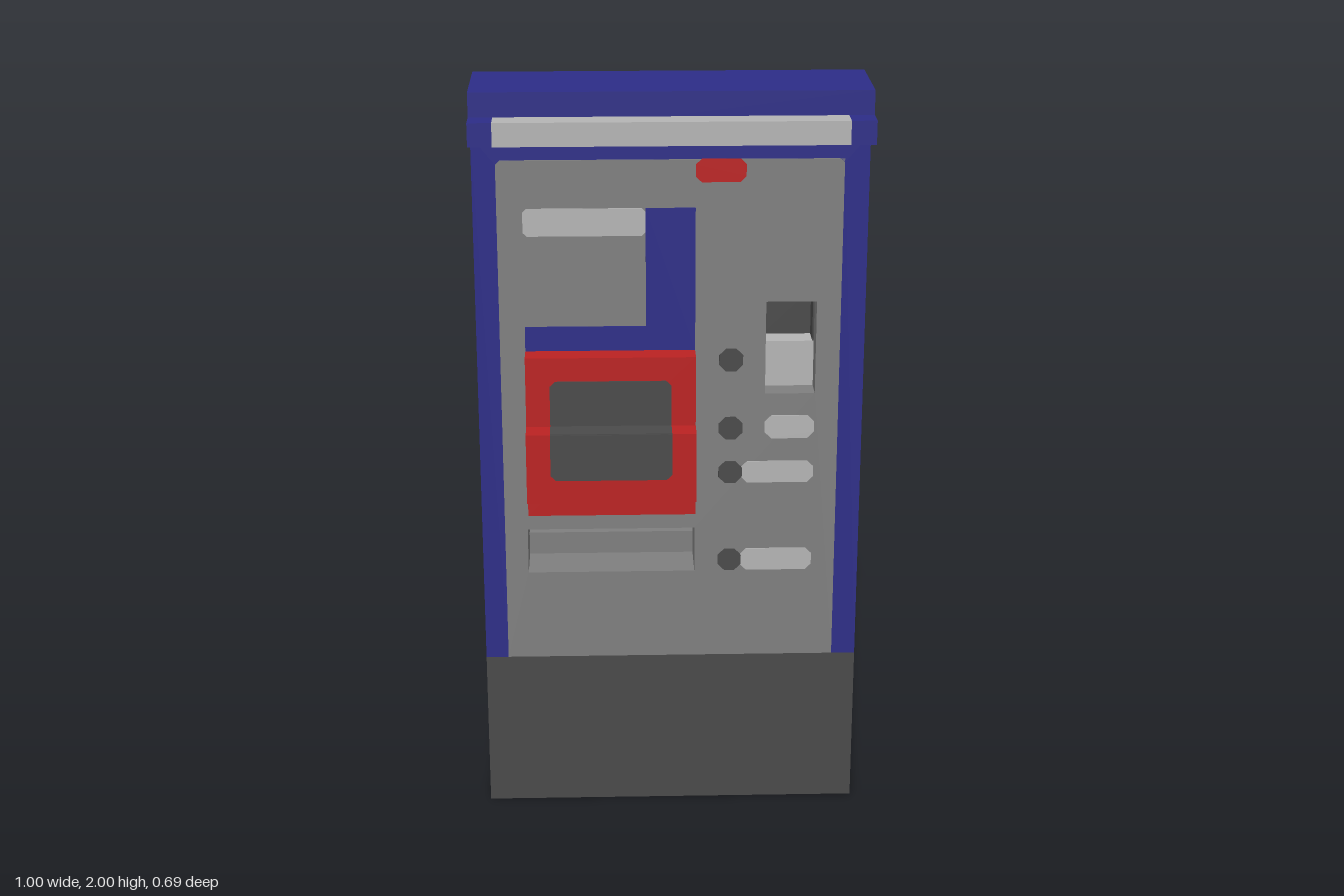
import * as THREE from 'three';

const mat = (name, color) => {
  const m = new THREE.MeshStandardMaterial({ color });
  m.name = name;
  return m;
};

export function createModel() {
  const blue = mat('blue', 0x2d2d87);
  const charcoal = mat('charcoal', 0x4a4a4a);
  const grey = mat('grey', 0x7f7f7f);
  const light = mat('lightGrey', 0xb4b4b4);
  const red = mat('red', 0xbb2222);

  const model = new THREE.Group();
  model.name = 'ticketMachine';

  const BACK = -0.344, FRONT = 0.219, PLATE = 0.003;

  const add = (name, geometry, material) => {
    const mesh = new THREE.Mesh(geometry, material);
    mesh.name = name;
    model.add(mesh);
    return mesh;
  };
  // Box given by its limits on each axis
  const box = (name, material, [x0, x1], [y0, y1], [z0, z1]) =>
    add(name, new THREE.BoxGeometry(x1 - x0, y1 - y0, z1 - z0)
      .translate((x0 + x1) / 2, (y0 + y1) / 2, (z0 + z1) / 2), material);
  // Polygon from corner pairs
  const poly = (pts, Kind = THREE.Shape) => new Kind(pts.map(p => new THREE.Vector2(...p)));
  const rect = ([x0, x1], [y0, y1], Kind) => poly([[x0, y0], [x1, y0], [x1, y1], [x0, y1]], Kind);
  const extrude = (shape, z0, z1) =>
    new THREE.ExtrudeGeometry(shape, { depth: z1 - z0, bevelEnabled: false }).translate(0, 0, z0);
  // Thin painted plate with clipped corners
  const plate = (name, material, [x0, x1], [y0, y1], c = 0.015, z = FRONT) =>
    add(name, extrude(poly([
      [x0 + c, y0], [x1 - c, y0], [x1, y0 + c], [x1, y1 - c],
      [x1 - c, y1], [x0 + c, y1], [x0, y1 - c], [x0, y0 + c],
    ]), z, z + PLATE), material);

  // Base and cabinet
  const W = [-0.5, 0.5], PX = [-0.44, 0.437], PY = [0.438, 1.815];
  const CORE = 0.03;
  box('base', charcoal, W, [0, 0.438], [BACK, FRONT]);
  box('cabinetBack', blue, W, [0.438, 1.878], [BACK, CORE]);
  const frame = poly([
    [-0.5, 0.438], [PX[0], 0.438], [PX[0], PY[1] - 0.012], [PX[0] + 0.012, PY[1]],
    [PX[1] - 0.012, PY[1]], [PX[1], PY[1] - 0.012], [PX[1], 0.438], [0.5, 0.438],
    [0.5, 1.878], [-0.5, 1.878],
  ]);
  add('cabinetFrame', extrude(frame, CORE, FRONT), blue);

  // Front panel with the two recesses cut through it
  const NX = [0.245, 0.375], NY = [1.19, 1.44], TX = [-0.38, 0.063], TY = [0.688, 0.813];
  const panel = rect(PX, [PY[0], PY[1] - 0.001]);
  panel.holes.push(rect(NX, NY, THREE.Path), rect(TX, TY, THREE.Path));
  add('frontPanel', extrude(panel, CORE, FRONT), grey);

  // Ticket tray recess with a stepped back
  box('trayBackLower', grey, TX, [TY[0], 0.75], [CORE, FRONT - 0.125]);
  box('trayBackUpper', grey, TX, [0.75, TY[1]], [CORE, CORE + 0.004]);

  // Coin niche: dark inner cavity above a light block
  box('nicheBlock', light, NX, [NY[0], 1.313], [CORE, FRONT - 0.0625]);
  box('nicheBack', charcoal, NX, [1.313, NY[1]], [CORE, FRONT - 0.125]);
  for (const x of [NX[0], NX[1] - 0.004])
    box('nicheLining', charcoal, [x, x + 0.004], [1.313, NY[1]], [CORE, FRONT - 0.0625]);
  box('nicheCeiling', charcoal, NX, [NY[1] - 0.004, NY[1]], [CORE, FRONT - 0.0625]);

  // Stepped roof; the profile is drawn in z and y, then turned to run along x
  const roof = poly([
    [-0.156, 1.878], [0.281, 1.878], [0.281, 2], [0.031, 2], [0.031, 1.938], [-0.156, 1.938],
  ]);
  add('steppedRoof', extrude(roof, -0.5, 0.5).rotateY(-Math.PI / 2).scale(1, 1, 1), blue);

  // Canopy lip with a lamp between two end blocks
  const LIP = [0.281, 0.344], LY = [1.878, 1.938];
  box('canopyEndRight', blue, [-0.5, -0.44], LY, LIP);
  box('canopyEndLeft', blue, [0.437, 0.5], LY, LIP);
  box('canopyLamp', light, [-0.44, 0.437], LY, LIP);

  // Screen housing with a protruding shelf
  const SX = [-0.375, 0.0625], GX = [-0.313, 0];
  box('screenHousing', red, SX, [0.878, 1.313], [FRONT, 0.281]);
  box('screenShelf', red, SX, [0.938, 1.127], [0.281, 0.344]);
  const glass = (name, y0, y1, top, z) => {
    const c = 0.014, a = top ? 0 : c, b = top ? c : 0;
    add(name, extrude(poly([
      [GX[0] + a, y0], [GX[1] - a, y0], [GX[1], y0 + a], [GX[1], y1 - b],
      [GX[1] - b, y1], [GX[0] + b, y1], [GX[0], y1 - b], [GX[0], y0 + a],
    ]), z, z + PLATE), charcoal);
  };
  glass('screenUpper', 1.127, 1.25, true, 0.281);
  glass('screenLower', 1.002, 1.127, false, 0.344);
  box('screenLedge', charcoal, GX, [1.127, 1.129], [0.281, 0.344]);

  // Painted signs on the panel
  add('blueSign', extrude(poly([
    [-0.375, 1.313], [0.0625, 1.313], [0.0625, 1.69], [-0.064, 1.69],
    [-0.064, 1.378], [-0.375, 1.378],
  ]), FRONT, FRONT + PLATE), blue);
  plate('lightSign', light, [-0.375, -0.064], [1.618, 1.69], 0.01);
  plate('redLamp', red, [0.0625, 0.19], [1.756, 1.816], 0.015);

  // Slots and round buttons
  plate('cardSlot', light, [0.245, 0.375], [1.066, 1.13], 0.018);
  plate('noteSlot', light, [0.185, 0.375], [0.942, 1.002], 0.016);
  plate('receiptSlot', light, [0.185, 0.375], [0.69, 0.752], 0.016);
  for (const y of [1.284, 1.096, 0.972, 0.721])
    plate('button', charcoal, [0.125, 0.187], [y - 0.031, y + 0.031], 0.018, FRONT + 0.001);

  return model;
}
